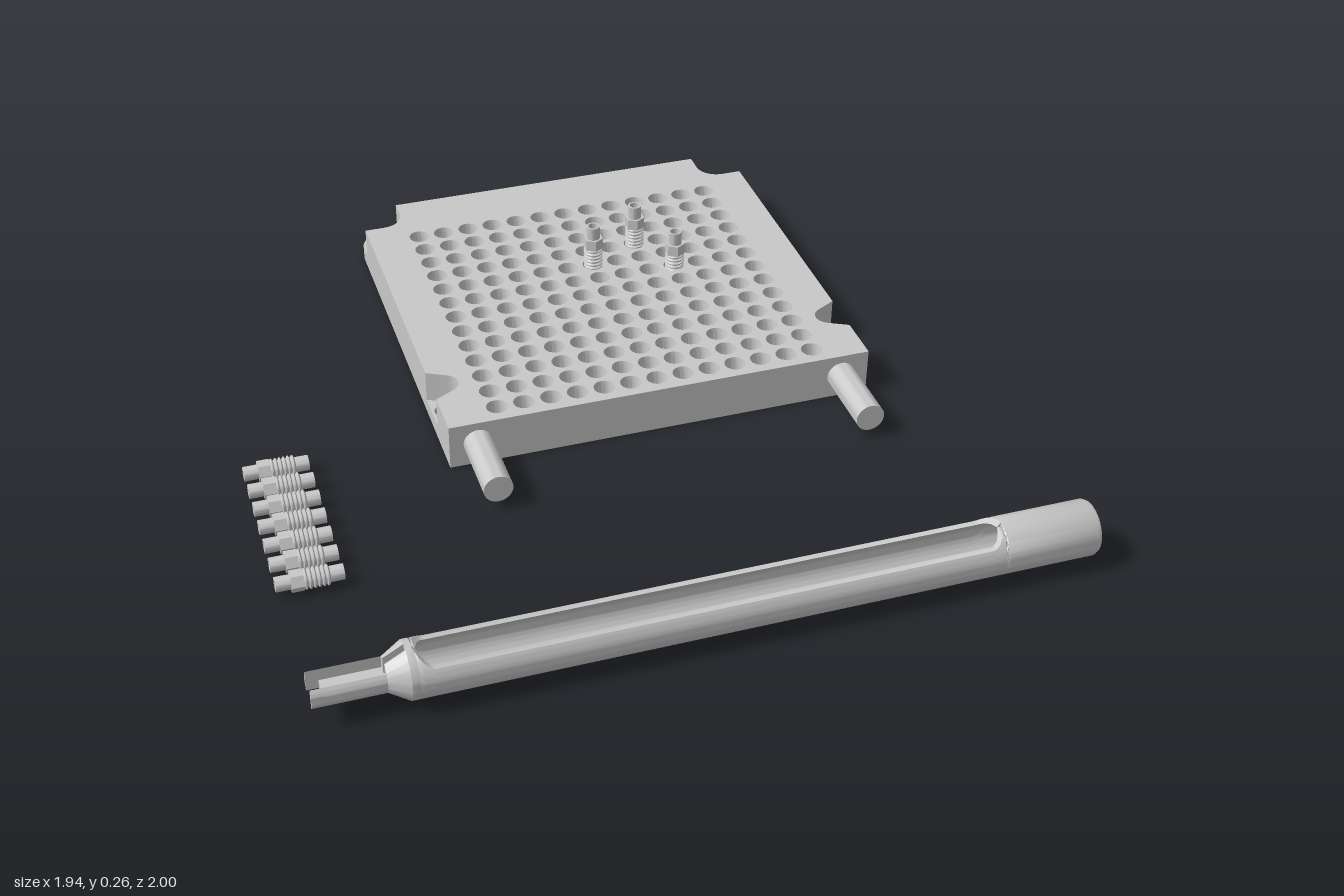
import * as THREE from 'three';
import { toCreasedNormals } from 'three/addons/utils/BufferGeometryUtils.js';

const metal = new THREE.MeshStandardMaterial({ color: 0xc8c8c8 });
metal.name = 'light grey metal';

function part(geometry, name, parent, x = 0, y = 0, z = 0) {
  const mesh = new THREE.Mesh(toCreasedNormals(geometry, 0.6), metal);
  mesh.name = name;
  mesh.position.set(x, y, z);
  parent.add(mesh);
  return mesh;
}

const lathe = (pts, sides) =>
  new THREE.LatheGeometry(pts.map(([r, y]) => new THREE.Vector2(r, y)), sides);

// Flat slab from an outline drawn in plan (x, -z)
function slab(shape, height) {
  return new THREE.ExtrudeGeometry(shape, { depth: height, bevelEnabled: false, curveSegments: 8 }).rotateX(-Math.PI / 2);
}

function addHole(shape, x, y, r) {
  const hole = new THREE.Path();
  hole.absarc(x, y, r, 0, Math.PI * 2, true);
  shape.holes.push(hole);
}

// Cross-sections (z, y) of the tool: outer arc paired with an inner line
const N = 48;
const arc = (r, cut) => {
  const a = Math.acos(Math.min(1, cut / r));
  return Array.from({ length: N + 1 }, (_, i) => {
    const t = a + (2 * Math.PI - 2 * a) * i / N;
    return [r * Math.sin(t), r * Math.cos(t)];
  });
};
const tubeSection = (x, R, r, cut) => ({ x, outer: arc(R, cut), inner: arc(r, cut) });
function slotSection(x, R, w, floor) {
  const top = Math.sqrt(R * R - w * w);
  const inner = Array.from({ length: N + 1 }, (_, i) => {
    const t = 3 * i / N;
    if (t < 1) return [w, top - 0.002 + (floor - top + 0.002) * t];
    if (t < 2) return [w - 2 * w * (t - 1), floor];
    return [-w, floor + (top - 0.002 - floor) * (t - 2)];
  });
  return { x, outer: arc(R, top), inner };
}

// Skin through the sections, with both ends closed
function loft(sections) {
  const pos = [];
  const tri = (a, b, c) => pos.push(...a, ...b, ...c);
  const at = (x, [z, y]) => [x, y, z];
  const loops = sections.map(s => [...s.outer, ...s.inner.slice().reverse()].map(p => at(s.x, p)));
  for (let i = 0; i + 1 < loops.length; i++) {
    const A = loops[i], B = loops[i + 1];
    A.forEach((p, j) => {
      const k = (j + 1) % A.length;
      tri(p, A[k], B[j]);
      tri(A[k], B[k], B[j]);
    });
  }
  [sections[0], sections[sections.length - 1]].forEach((s, end) => {
    for (let j = 0; j < N; j++) {
      const [o, o2] = [at(s.x, s.outer[j]), at(s.x, s.outer[j + 1])];
      const [n, n2] = [at(s.x, s.inner[j]), at(s.x, s.inner[j + 1])];
      if (end) { tri(o, o2, n); tri(o2, n2, n); }
      else { tri(o, n, o2); tri(o2, n, n2); }
    }
  });
  const g = new THREE.BufferGeometry();
  g.setAttribute('position', new THREE.Float32BufferAttribute(pos, 3));
  return g;
}

// Hollow threaded fitting standing on its plain end
function makeFitting(name) {
  const g = new THREE.Group();
  g.name = name;
  const bore = 0.014;
  const pts = [[bore, 0], [0.02, 0], [0.02, 0.035]];
  for (let i = 0; i < 6; i++) {
    const y = 0.035 + i * 0.011;
    pts.push([0.022, y + 0.001], [0.027, y + 0.004], [0.027, y + 0.007], [0.022, y + 0.01]);
  }
  pts.push([0.019, 0.102], [0.019, 0.17], [bore, 0.17], [bore, 0]);
  part(lathe(pts, 20), 'threadedSleeve', g);
  part(lathe([[0.018, 0.1], [0.028, 0.1], [0.028, 0.132], [0.018, 0.132], [0.018, 0.1]], 6), 'hexCollar', g);
  return g;
}

function makePlate() {
  const g = new THREE.Group();
  g.name = 'perforatedPlate';
  g.position.x = 0.135;
  const W = 0.585, ledge = 0.04, top = 0.128;

  // Base with rounded back corners
  const base = new THREE.Shape();
  base.moveTo(-W, -0.125);
  base.lineTo(W, -0.125);
  base.lineTo(W, 0.93);
  base.absarc(W - 0.07, 0.93, 0.07, 0, Math.PI / 2, false);
  base.absarc(-W + 0.07, 0.93, 0.07, Math.PI / 2, Math.PI, false);

  // Body with side and corner pockets, one half mirrored
  const half = [new THREE.Vector2(W, -0.125), new THREE.Vector2(W, 0.008)];
  for (let i = 0; i <= 12; i++) {
    const t = -2.0 - (2 * Math.PI - 4.0) * i / 12;
    half.push(new THREE.Vector2(0.548 + 0.038 * Math.cos(t), 0.07 + 0.038 * Math.sin(t)));
  }
  half.push(new THREE.Vector2(W, 0.132), new THREE.Vector2(W, 0.885));
  for (let i = 0; i <= 6; i++) {
    const t = -Math.PI / 2 - Math.PI / 2 * i / 6;
    half.push(new THREE.Vector2(0.528 + 0.06 * Math.cos(t), 0.945 + 0.06 * Math.sin(t)));
  }
  half.push(new THREE.Vector2(0.468, 1));
  const body = new THREE.Shape([...half, ...half.slice().reverse().map(p => new THREE.Vector2(-p.x, p.y))]);

  // Mounting holes
  for (const s of [-1, 1]) {
    addHole(base, s * 0.53, 0.94, 0.028);
    addHole(base, s * 0.55, 0.07, 0.028);
  }

  // Grid of tapered sockets
  const socket = lathe([[0.029, top], [0.026, top - 0.02], [0.021, ledge]], 16);
  for (let i = 0; i < 13; i++) for (let j = 0; j < 13; j++) {
    const x = (i - 6) * 0.0735, y = -0.07 + j * 0.073;
    addHole(base, x, y, 0.021);
    addHole(body, x, y, 0.029);
    part(socket, 'socket', g, x, 0, -y);
  }
  part(slab(base, ledge), 'plateBase', g);
  part(slab(body, top - ledge), 'plateBody', g, 0, ledge, 0);

  // Front rods
  for (const s of [-1, 1])
    part(new THREE.CylinderGeometry(0.039, 0.039, 0.215, 32).rotateX(Math.PI / 2), 'frontRod', g, s * 0.508, 0.067, 0.2225);
  return g;
}

function makeTool() {
  const g = new THREE.Group();
  g.name = 'insertionTool';
  g.position.set(0, 0.09, 0.927);
  const R = 0.071, r = 0.059, cut = 0.04;

  // Tube with an open trough whose ends ramp up to the full round
  const sections = [tubeSection(-0.75, R, r, R)];
  const ramp = [1, 0.75, 0.5, 0.25, 0.1, 0];
  ramp.forEach((k, i) => sections.push(tubeSection(-0.735 + i * 0.008, R, r, cut + k * (R - cut))));
  ramp.slice().reverse().forEach((k, i) => sections.push(tubeSection(0.68 + i * 0.008, R, r, cut + k * (R - cut))));
  sections.push(tubeSection(0.957, R, r, R), tubeSection(0.966, R - 0.005, r, R));
  part(loft(sections), 'troughTube', g);

  // Slotted cone and grooved nose
  part(loft([slotSection(-0.8, 0.042, 0.01, -0.005), slotSection(-0.75, R, 0.01, -0.005)]), 'slottedCone', g);
  part(loft([slotSection(-0.945, 0.042, 0.031, -0.005), slotSection(-0.8, 0.042, 0.031, -0.005)]), 'groovedNose', g);

  // Fork prongs at the tip
  const prong = new THREE.Shape();
  const a = Math.acos(0.031 / 0.042);
  prong.absarc(0, 0, 0.042, -a, a, false);
  const prongGeometry = new THREE.ExtrudeGeometry(prong, { depth: 0.03, bevelEnabled: false, curveSegments: 10 });
  for (const s of [-1, 1]) {
    const mesh = part(prongGeometry, 'forkProng', g, s < 0 ? -0.945 : -0.975, 0, 0);
    mesh.rotation.y = s * Math.PI / 2;
  }
  return g;
}

export function createModel() {
  const model = new THREE.Group();
  model.name = 'plateToolAndFittings';
  model.add(makePlate(), makeTool());

  // Fittings seated in the plate
  for (const [x, y, z] of [[0.135, 0.09, -0.508], [0.282, 0.09, -0.581], [0.3555, 0.075, -0.435]]) {
    const f = makeFitting('seatedFitting');
    f.position.set(x, y, z);
    model.add(f);
  }

  // Row of loose fittings lying down
  for (let i = 0; i < 7; i++) {
    const f = makeFitting('looseFitting');
    f.rotation.z = Math.PI / 2;
    f.position.set(-0.805, 0.033, 0.035 + i * 0.075);
    model.add(f);
  }
  return model;
}
